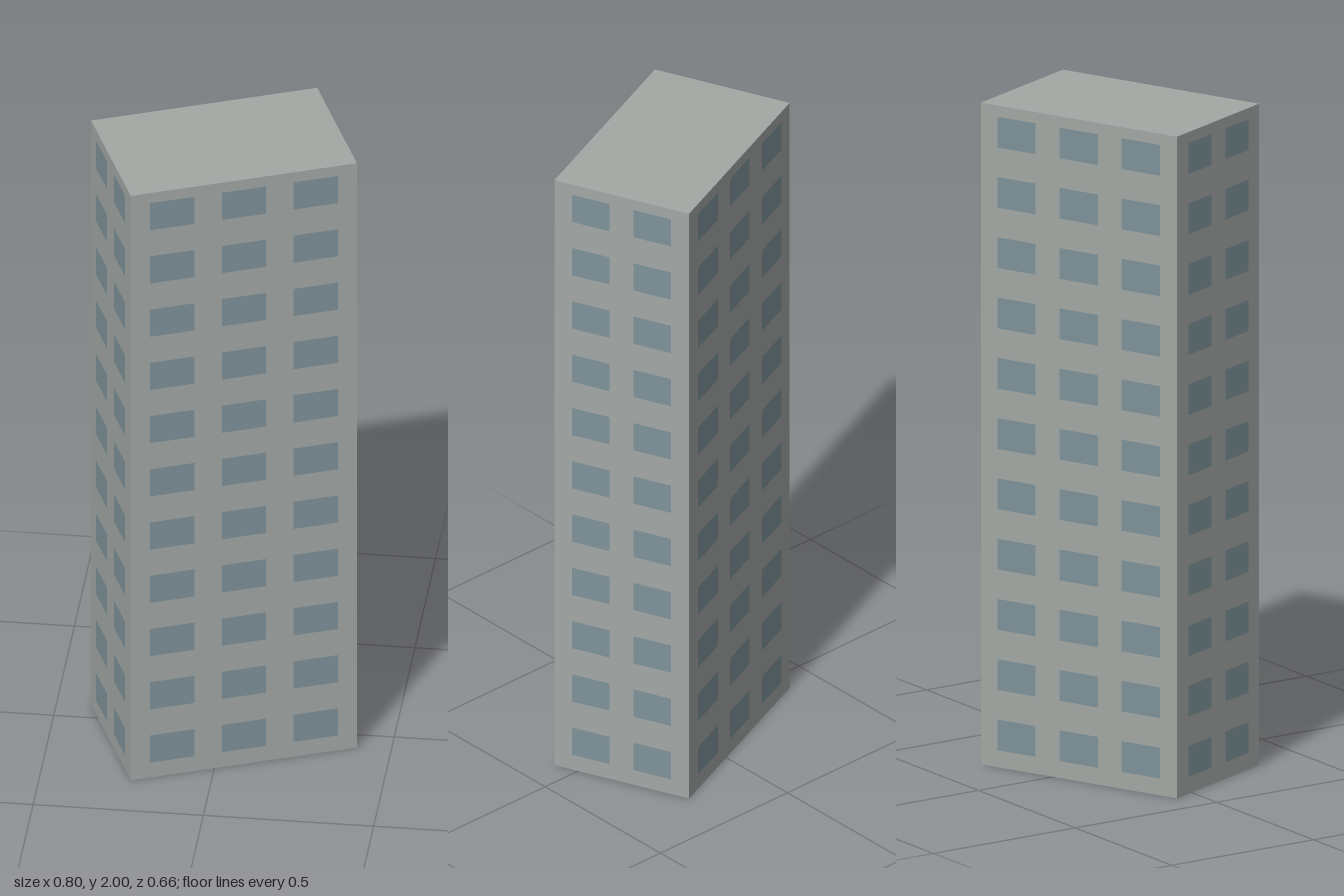
import * as THREE from 'three';

const WIDTH = 0.684, DEPTH = 0.435, HEIGHT = 2;
const FLOORS = 11, FIRST_FLOOR = 0.098, FLOOR_STEP = 0.1822;

export function createModel() {
  const concrete = new THREE.MeshStandardMaterial({ color: 0xa3a8a5, side: THREE.DoubleSide });
  concrete.name = 'concrete grey';
  const glass = new THREE.MeshStandardMaterial({ color: 0x7e939a });
  glass.name = 'window blue';

  const model = new THREE.Group();
  model.name = 'towerBlock';

  // One facade: an open wall sheet with a grid of thin window faces in front
  function addFacade(name, length, distance, angle, columns, windowWidth) {
    const facade = new THREE.Group();
    facade.name = name;
    const wall = new THREE.Mesh(new THREE.PlaneGeometry(length, HEIGHT), concrete);
    wall.name = name + 'Wall';
    wall.position.set(0, HEIGHT / 2, distance);
    facade.add(wall);

    const pane = new THREE.PlaneGeometry(windowWidth, 0.093);
    for (let floor = 0; floor < FLOORS; floor++) {
      for (const x of columns) {
        const mesh = new THREE.Mesh(pane, glass);
        mesh.name = name + 'Window';
        mesh.position.set(x, FIRST_FLOOR + floor * FLOOR_STEP, distance + 0.0015);
        facade.add(mesh);
      }
    }
    facade.rotation.y = angle;
    model.add(facade);
  }

  // Long facades have three window columns, short ones two
  const longColumns = [-0.217, 0, 0.217], shortColumns = [-0.099, 0.099];
  addFacade('front', WIDTH, DEPTH / 2, 0, longColumns, 0.134);
  addFacade('left', DEPTH, WIDTH / 2, Math.PI / 2, shortColumns, 0.122);
  addFacade('back', WIDTH, DEPTH / 2, Math.PI, longColumns, 0.134);
  addFacade('right', DEPTH, WIDTH / 2, -Math.PI / 2, shortColumns, 0.122);

  // Flat roof; the underside of the block stays open
  const roof = new THREE.Mesh(new THREE.PlaneGeometry(WIDTH, DEPTH), concrete);
  roof.name = 'roof';
  roof.rotation.x = -Math.PI / 2;
  roof.position.y = HEIGHT;
  model.add(roof);

  // The whole block stands turned on its plot
  model.rotation.y = 0.39;
  const root = new THREE.Group();
  root.name = 'building';
  root.add(model);
  return root;
}
